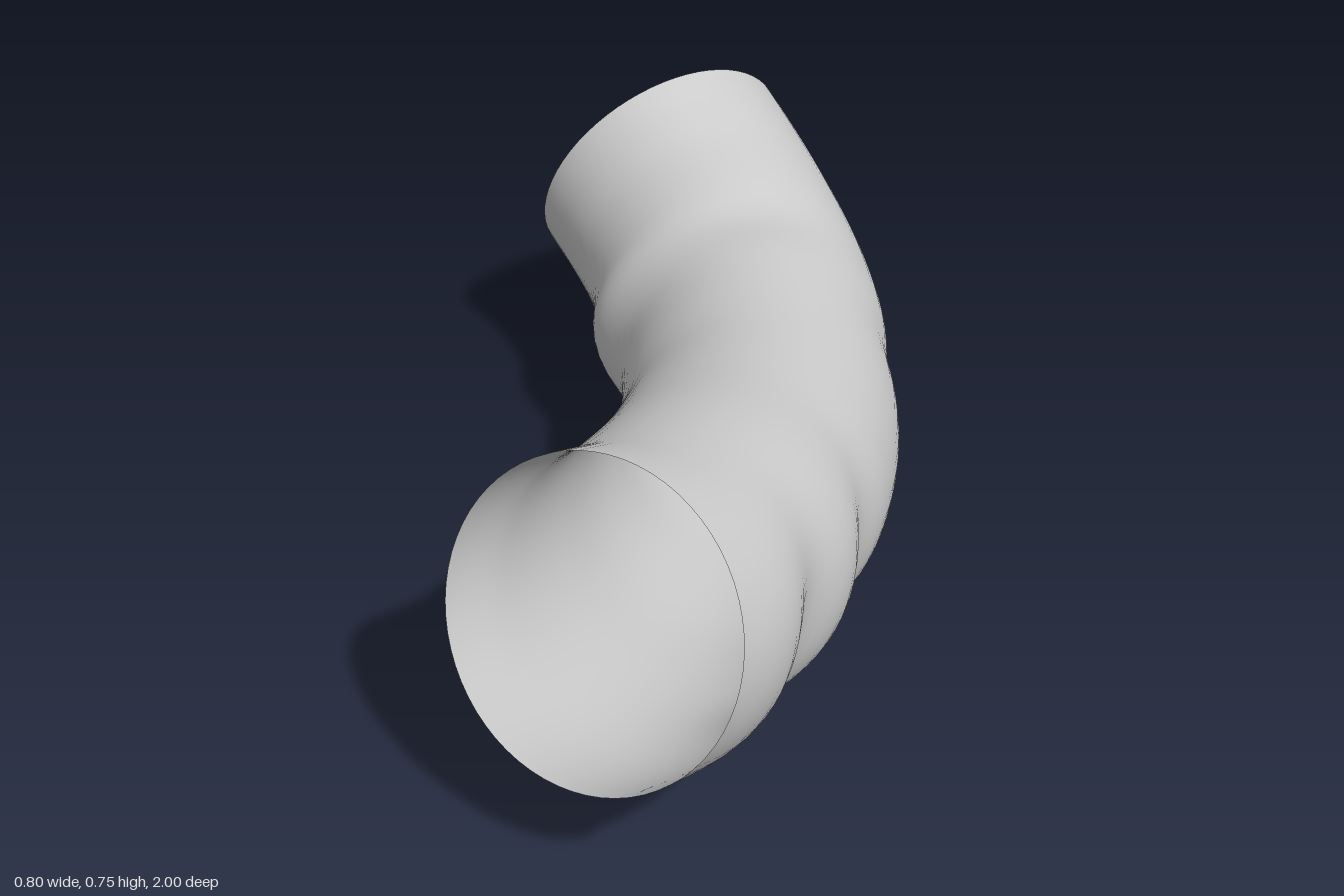
import * as THREE from 'three';

// Centre line of the bent pipe, front mouth to back mouth
const PATH = [
  [-0.157, 0.487, 0.825], [-0.071, 0.426, 0.69], [0.025, 0.36, 0.45], [0.085, 0.312, 0.24],
  [0.128, 0.287, 0.04], [0.136, 0.283, -0.13], [0.13, 0.291, -0.3], [0.1, 0.313, -0.47],
  [0.035, 0.361, -0.65], [-0.021, 0.406, -0.76], [-0.063, 0.44, -0.83],
].map((p) => new THREE.Vector3(...p));

// Dents and bulges: centre z, angle round the section, length, angular width, depth
const DENTS = [
  [0.58, -0.2, 0.08, 0.75, -0.045], // outer wall
  [0.31, -0.2, 0.08, 0.75, -0.03],
  [-0.2, 0.0, 0.08, 0.6, -0.012],
  [-0.43, Math.PI, 0.12, 0.8, 0.04], // inside of the elbow
  [-0.41, 1.57, 0.1, 0.6, -0.015], // top of the elbow
  [-0.35, -1.57, 0.1, 0.6, -0.015], // underside of the elbow
];

function radiusOffset(z, angle) {
  let sum = 0;
  for (const [dz, da, length, width, depth] of DENTS) {
    const a = Math.atan2(Math.sin(angle - da), Math.cos(angle - da));
    sum += depth * Math.exp(-(((z - dz) / length) ** 2) - (a / width) ** 2);
  }
  return sum;
}

// Open tube from rings set square to the centre line
function pipeGeometry(rings, sides) {
  const curve = new THREE.CatmullRomCurve3(PATH);
  const positions = [];
  const index = [];
  for (let j = 0; j <= rings; j++) {
    const t = j / rings;
    const centre = curve.getPointAt(t);
    const along = curve.getTangentAt(t);
    const up = new THREE.Vector3(0, 1, 0).addScaledVector(along, -along.y).normalize();
    const side = new THREE.Vector3().crossVectors(along, up);
    const slim = 0.014 * Math.sin(Math.PI * t); // slightly narrower in the middle
    for (let i = 0; i < sides; i++) {
      const a = (i / sides) * Math.PI * 2;
      const extra = radiusOffset(centre.z, a);
      const p = centre.clone()
        .addScaledVector(side, Math.cos(a) * (0.282 - slim + extra))
        .addScaledVector(up, Math.sin(a) * (0.282 + extra));
      positions.push(p.x, p.y, p.z);
      if (j < rings) {
        const n = (i + 1) % sides;
        const a0 = j * sides + i, a1 = j * sides + n;
        index.push(a0, a0 + sides, a1, a1, a0 + sides, a1 + sides);
      }
    }
  }
  const geometry = new THREE.BufferGeometry();
  geometry.setAttribute('position', new THREE.Float32BufferAttribute(positions, 3));
  geometry.setIndex(index);
  geometry.computeVertexNormals();
  return geometry;
}

export function createModel() {
  const group = new THREE.Group();
  group.name = 'bentPipe';
  const material = new THREE.MeshStandardMaterial({ color: 0xcccccc, side: THREE.DoubleSide });
  const pipe = new THREE.Mesh(pipeGeometry(72, 64), material);
  pipe.name = 'pipeWall';
  group.add(pipe);
  return group;
}
